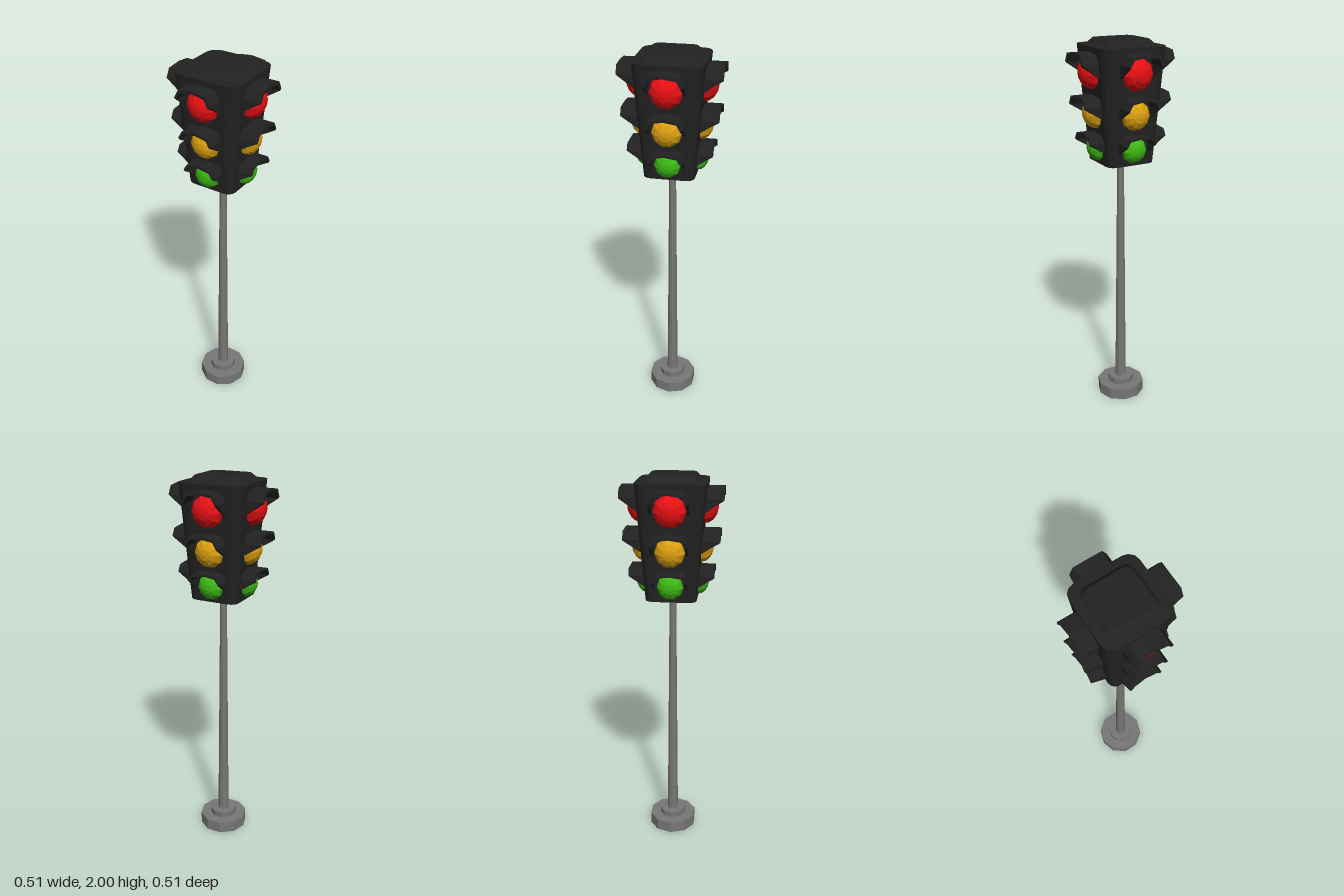
import * as THREE from 'three';

const flat = (name, color, side = THREE.FrontSide) => {
  const m = new THREE.MeshStandardMaterial({ color, flatShading: true, side });
  m.name = name;
  return m;
};

// Half width of the tapered housing at height y
const wall = (y) => 0.13 + 0.045 * (y - 1.385) / 0.585;

// Rounded square loop
function loop(h, y) {
  const r = h * 0.31, pts = [];
  for (let c = 0; c < 4; c++) {
    const mid = Math.PI / 4 + c * Math.PI / 2;
    const cx = Math.sign(Math.cos(mid)) * (h - r), cz = Math.sign(Math.sin(mid)) * (h - r);
    for (let k = 0; k < 4; k++) {
      const a = c * Math.PI / 2 + k * Math.PI / 6;
      pts.push([cx + r * Math.cos(a), y, cz + r * Math.sin(a)]);
    }
  }
  return pts;
}

function build(positions, index) {
  const g = new THREE.BufferGeometry();
  g.setAttribute('position', new THREE.Float32BufferAttribute(positions.flat(), 3));
  g.setIndex(index);
  g.computeVertexNormals();
  return g;
}

// Housing lofted through rounded squares, with a low raised cap
function housingGeometry() {
  const levels = [[0.13, 1.385], [0.175, 1.97], [0.135, 1.975], [0.112, 2]];
  const pos = [], idx = [], n = 16;
  for (const [h, y] of levels) pos.push(...loop(h, y));
  for (let l = 0; l < levels.length - 1; l++) {
    for (let i = 0; i < n; i++) {
      const a = l * n + i, b = l * n + (i + 1) % n;
      idx.push(a, a + n, b, b, a + n, b + n);
    }
  }
  const top = (levels.length - 1) * n;
  for (let i = 1; i < n - 1; i++) {
    idx.push(0, i, i + 1);
    idx.push(top, top + i + 1, top + i);
  }
  return build(pos, idx);
}

// Arched hood: each arch point has an outer and inner skin, from wall to lip
function visorGeometry(s, zWall, zFront) {
  const back = zWall - 0.015;
  const arch = [
    [0.095, -0.015, zWall + 0.004], [0.095, 0.05, zFront], [0.073, 0.092, zFront],
    [0, 0.102, zFront - 0.004],
    [-0.073, 0.092, zFront], [-0.095, 0.05, zFront], [-0.095, -0.015, zWall + 0.004],
  ];
  const pos = [], idx = [];
  for (const [u, v, z] of arch) {
    const w = u * (1 + (s - 1) * 0.4);
    const iu = w * 0.89, iv = v > 0 ? v * 0.86 : v;
    pos.push([w, v * s, back], [w, v * s, z], [iu, iv * s, back], [iu, iv * s, z]);
  }
  const quad = (a, b, c, d) => idx.push(a, b, c, a, c, d);
  for (let i = 0; i < arch.length - 1; i++) {
    const a = i * 4, b = a + 4;
    quad(a, a + 1, b + 1, b);
    quad(a + 2, b + 2, b + 3, a + 3);
    quad(a + 1, a + 3, b + 3, b + 1);
  }
  const e = (arch.length - 1) * 4;
  quad(0, 2, 3, 1);
  quad(e, e + 1, e + 3, e + 2);
  return build(pos, idx);
}

export function createModel() {
  const model = new THREE.Group();
  model.name = 'trafficLight';
  const black = flat('housingBlack', 0x222222);
  const hood = flat('hoodBlack', 0x222222, THREE.DoubleSide);
  const grey = flat('poleGrey', 0x777777);

  const add = (parent, name, geometry, material) => {
    const mesh = new THREE.Mesh(geometry, material);
    mesh.name = name;
    parent.add(mesh);
    return mesh;
  };

  // Stand: stepped base, tapered pole and collar
  const stand = [
    ['base', 0.13, 0.13, 0, 0.063],
    ['baseStep', 0.072, 0.072, 0.063, 0.095],
    ['pole', 0.018, 0.03, 0.095, 1.36],
    ['collar', 0.044, 0.044, 1.355, 1.387],
  ];
  for (const [name, rTop, rBottom, y0, y1] of stand) {
    const g = new THREE.CylinderGeometry(rTop, rBottom, y1 - y0, 10);
    g.rotateY(Math.PI / 2);
    add(model, name, g, grey).position.y = (y0 + y1) / 2;
  }

  add(model, 'housing', housingGeometry(), black);

  // Lamps: name, material, height, lens radius, hood scale, hood reach
  const lamps = [
    ['red', flat('lampRed', 0xe81014), 1.845, 0.082, 1, 0.257],
    ['amber', flat('lampAmber', 0xdba010), 1.643, 0.076, 0.92, 0.243],
    ['green', flat('lampGreen', 0x3cb814), 1.467, 0.067, 0.8, 0.217],
  ];
  for (let side = 0; side < 4; side++) {
    const face = new THREE.Group();
    face.name = 'lampFace' + (side + 1);
    face.rotation.y = side * Math.PI / 2;
    for (const [name, material, y, r, s, reach] of lamps) {
      const z = wall(y);
      const dome = new THREE.SphereGeometry(1, 10, 4, 0, Math.PI * 2, 0, Math.PI / 2);
      dome.rotateX(Math.PI / 2);
      dome.scale(r, r, 0.062 * s);
      const lens = add(face, name + 'Lens', dome, material);
      lens.position.set(0, y, z);
      lens.rotation.x = 0.077;
      add(face, name + 'Visor', visorGeometry(s, z, reach), hood).position.y = y;
    }
    model.add(face);
  }
  return model;
}
